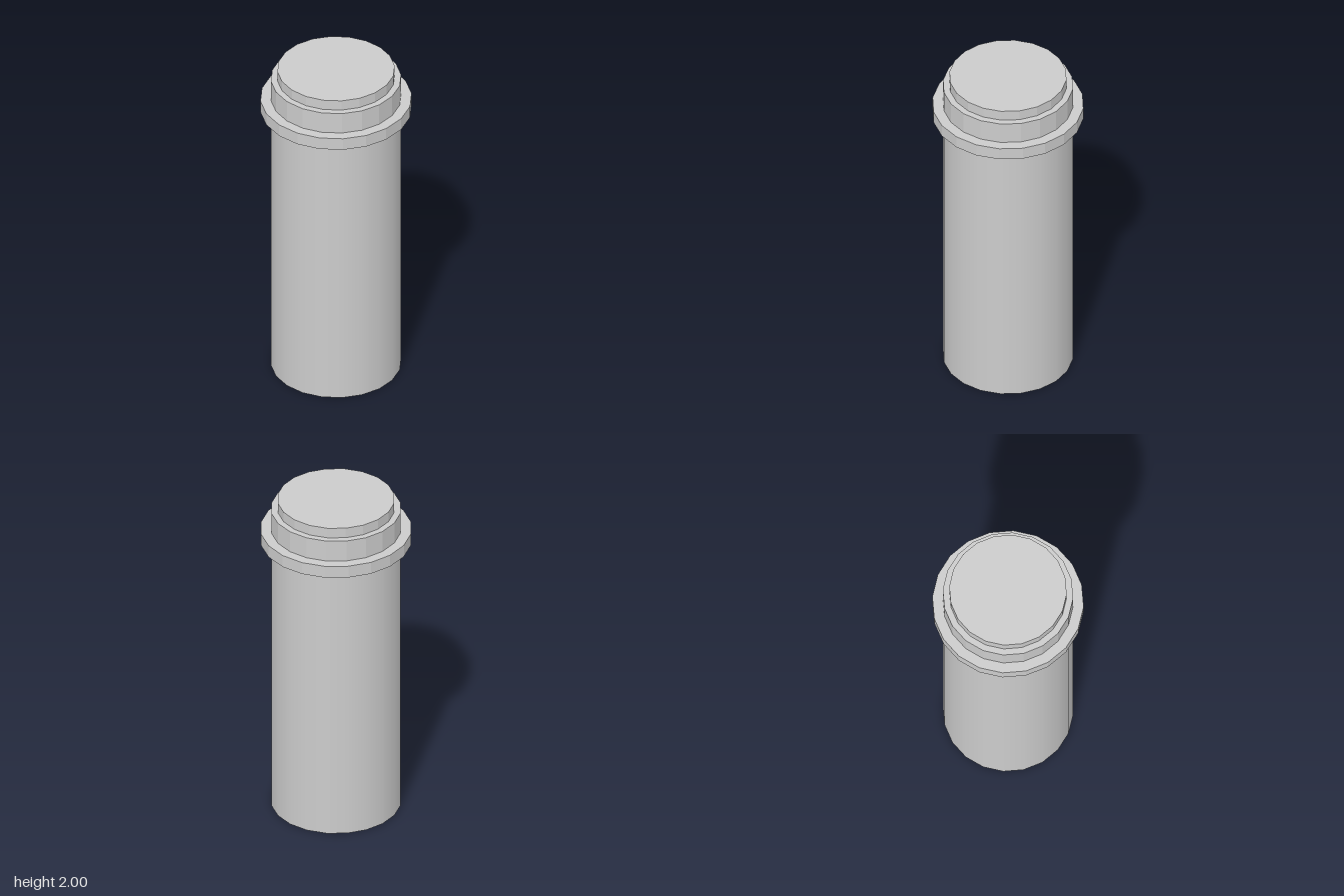
import * as THREE from 'three';

const SIDES = 20;

export function createModel() {
  const group = new THREE.Group();
  const smooth = new THREE.MeshStandardMaterial({ color: 0xcccccc });
  const faceted = new THREE.MeshStandardMaterial({ color: 0xcccccc, flatShading: true });

  // Solid drum between two heights
  function drum(name, radius, bottom, top, material) {
    const geometry = new THREE.CylinderGeometry(radius, radius, top - bottom, SIDES);
    const mesh = new THREE.Mesh(geometry, material);
    mesh.name = name;
    mesh.position.y = (bottom + top) / 2;
    group.add(mesh);
  }

  // Long smooth shaft, then the faceted collar, neck and cap stacked on it
  drum('body', 0.372, 0, 1.73, smooth);
  drum('collar', 0.432, 1.73, 1.805, faceted);
  drum('neck', 0.372, 1.805, 1.937, faceted);
  drum('cap', 0.335, 1.937, 2, faceted);

  return group;
}
